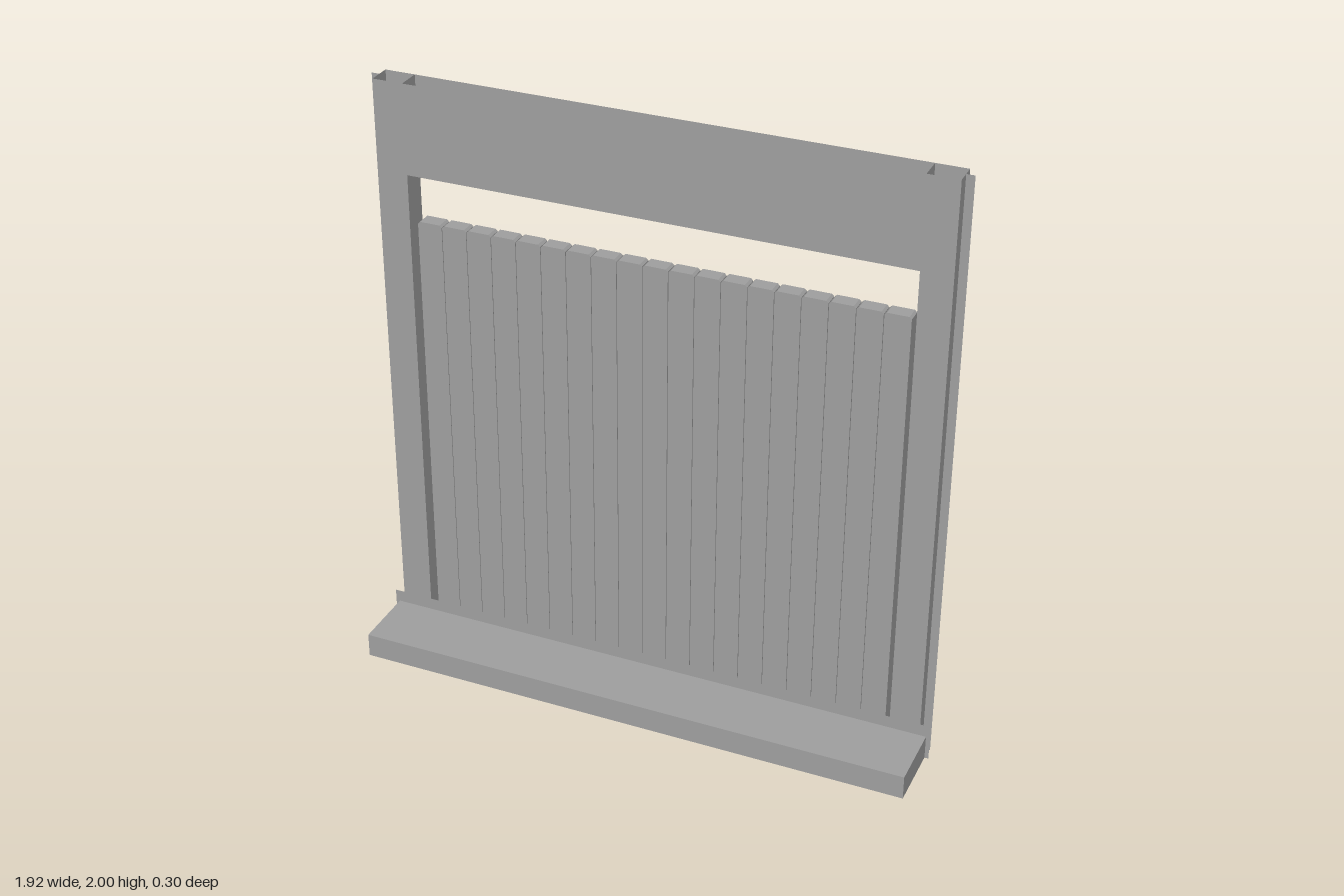
import * as THREE from 'three';

export function createModel() {
  const group = new THREE.Group();
  const grey = new THREE.MeshStandardMaterial({ color: 0xa0a0a0, side: THREE.DoubleSide });
  grey.name = 'grey';

  const FRONT = -0.071, BACK = -0.151, MID = (FRONT + BACK) / 2;
  const DEPTH = FRONT - BACK;

  function add(name, geometry, x, y, z) {
    const mesh = new THREE.Mesh(geometry, grey);
    mesh.name = name;
    mesh.position.set(x, y, z);
    group.add(mesh);
    return mesh;
  }

  // Frame skins: an upside-down U, front and back
  const outline = new THREE.Shape([
    [-0.923, 0], [-0.923, 2], [0.923, 2], [0.923, 0],
    [0.822, 0], [0.822, 1.7], [-0.822, 1.7], [-0.822, 0],
  ].map(([x, y]) => new THREE.Vector2(x, y)));
  add('frameFront', new THREE.ShapeGeometry(outline), 0, 0, FRONT);
  add('frameBack', new THREE.ShapeGeometry(outline), 0, 0, BACK).rotation.y = Math.PI;

  // Thin walls joining the skins, open at the top, and the side flanges
  for (const [side, s] of [['left', 1], ['right', -1]]) {
    add(side + 'OuterWall', new THREE.PlaneGeometry(DEPTH, 2), s * 0.923, 1, MID).rotation.y = s * Math.PI / 2;
    add(side + 'InnerWall', new THREE.PlaneGeometry(DEPTH, 2), s * 0.822, 1, MID).rotation.y = -s * Math.PI / 2;
    add(side + 'Flange', new THREE.PlaneGeometry(0.027, 2), s * 0.9365, 1, -0.113);
  }
  add('headUnderside', new THREE.PlaneGeometry(1.644, DEPTH), 0, 1.7, MID).rotation.x = Math.PI / 2;

  // Sill with its thin upstand
  add('sill', new THREE.BoxGeometry(1.89, 0.083, 0.264), 0, 0.0415, 0.019);
  add('sillUpstand', new THREE.PlaneGeometry(1.916, 0.125), 0, 0.0625, FRONT + 0.001);

  // Row of upright boards with clipped top corners
  const count = 19, pitch = 1.608 / count, h = pitch / 2 - 0.001, clip = 0.007, top = 1.54;
  const board = new THREE.Shape([
    [-h, 0], [h, 0], [h, top - clip], [h - clip, top], [-h + clip, top], [-h, top - clip],
  ].map(([x, y]) => new THREE.Vector2(x, y)));
  const boardGeometry = new THREE.ExtrudeGeometry(board, { depth: 0.05, bevelEnabled: false });
  for (let i = 0; i < count; i++) {
    add('board' + (i + 1), boardGeometry, (i - (count - 1) / 2) * pitch, 0, -0.138);
  }

  return group;
}
